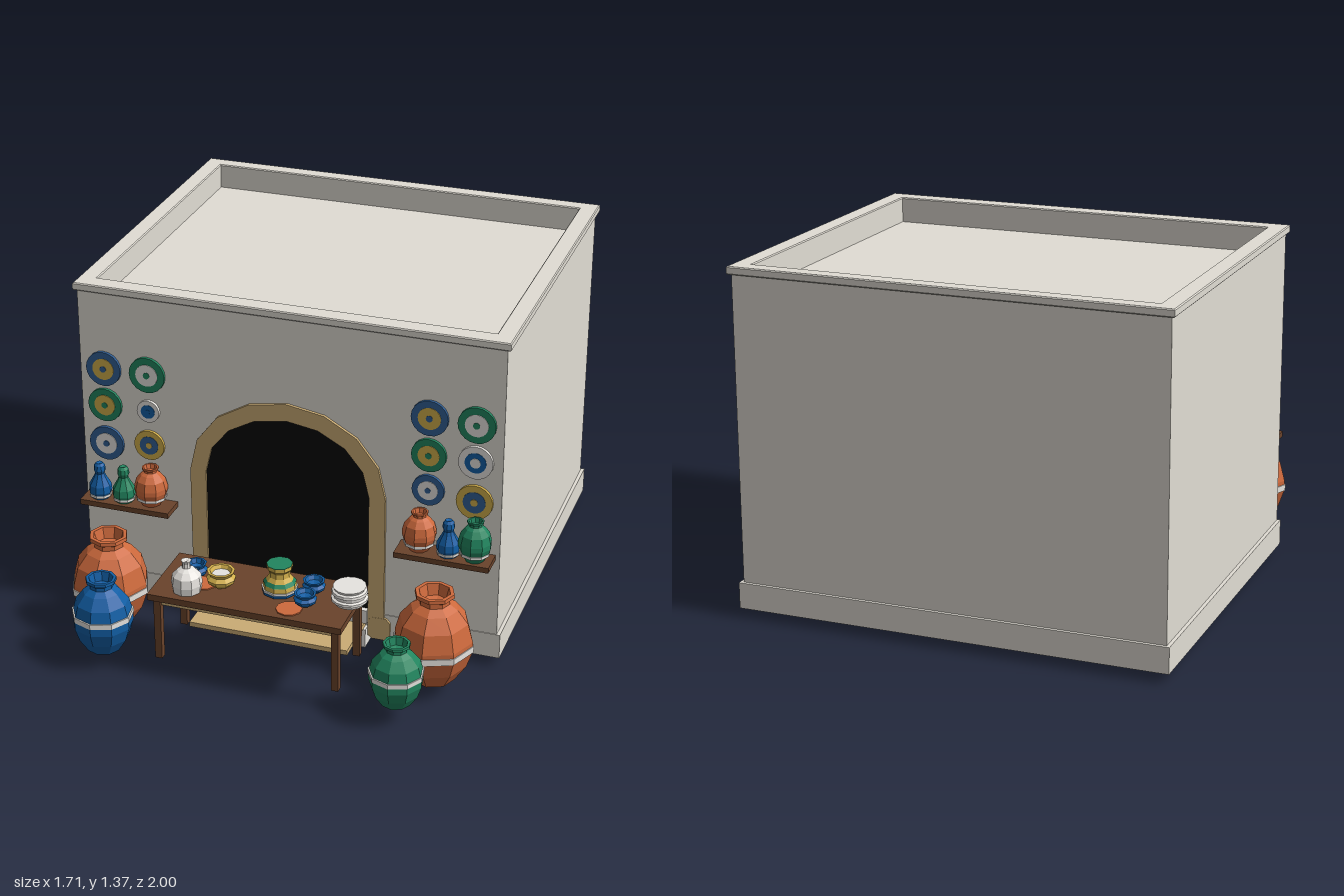
import * as THREE from 'three';

const colours = {
  plaster: 0xe1ddd4, white: 0xf6f3ee, sandstone: 0xcaac75, terracotta: 0xce6a3d, cobalt: 0x125ea4,
  green: 0x22855f, ochre: 0xd2af4b, wood: 0x6a432b, darkness: 0x040404, slateBlue: 0x315f94,
};

// Normalised pot profiles: [radius, height], from base centre up and back down inside
const JAR = [[0, 0], [.56, 0], [.85, .18], [1, .36], [1, .48], [.87, .68], [.6, .82], [.39, .88], [.39, .93], [.51, .96], [.5, 1], [.4, 1], [.32, .88], [0, .84]];
const GOURD = [[0, 0], [.75, 0], [1, .2], [.95, .38], [.55, .6], [.4, .7], [.52, .8], [.46, .93], [.3, 1], [0, .97]];
const BOTTLE = [[0, 0], [.92, 0], [1, .25], [.92, .52], [.6, .68], [.27, .76], [.25, .9], [.33, 1], [.18, 1], [0, .95]];
const BOWL = [[0, 0], [.6, 0], [.95, .3], [1, .5], [.75, .72], [.95, 1], [.75, 1], [.55, .7], [0, .55]];
const VASE = [[0, 0], [.9, 0], [1, .15], [.95, .35], [.62, .6], [.6, .78], [.76, .88], [.76, 1], [.6, 1], [.5, .8], [0, .75]];
const STACK = [[0, 0], [.8, 0], [.85, .15], [1, .22], [1, .36], [.86, .42], [.88, .58], [.98, .64], [.95, .78], [.82, .84], [.9, 1], [0, 1]];

export function createModel() {
  const model = new THREE.Group();
  const mats = {};
  for (const [name, color] of Object.entries(colours)) {
    mats[name] = new THREE.MeshStandardMaterial({ color });
    mats[name].name = name;
  }

  const add = (name, geo, mat, x = 0, y = 0, z = 0, parent = model) => {
    const m = new THREE.Mesh(geo, mats[mat]);
    m.name = name;
    m.position.set(x, y, z);
    parent.add(m);
  };
  // Box given by its min and max on each axis
  const box = (name, mat, x0, x1, y0, y1, z0, z1) =>
    add(name, new THREE.BoxGeometry(x1 - x0, y1 - y0, z1 - z0), mat, (x0 + x1) / 2, (y0 + y1) / 2, (z0 + z1) / 2);
  const toVectors = pts => pts.map(p => new THREE.Vector2(...p));

  // Faceted lathe
  const lathe = (points, sides) => {
    const g = new THREE.LatheGeometry(toVectors(points), sides).toNonIndexed();
    g.computeVertexNormals();
    return g;
  };
  // Pot with optional painted bands, each [colour, height fraction, radius fraction]
  const pot = (name, profile, mat, x, y, z, r, h, bands = [], sides = 9) => {
    const group = new THREE.Group();
    group.name = name;
    group.position.set(x, y, z);
    add('body', lathe(profile.map(p => [p[0] * r, p[1] * h]), sides), mat, 0, 0, 0, group);
    for (const [colour, at, rad] of bands) {
      const b = rad * r, t = h * .035;
      add('band', lathe([[b - .004, -t], [b + .004, -t], [b + .004, t], [b - .004, t]], sides), colour, 0, at * h, 0, group);
    }
    model.add(group);
  };

  // Building block, plinth and sunken roof with its rim
  box('walls', 'plaster', -.843, .843, .05, 1.265, -.987, .425);
  box('plinth', 'plaster', -.857, .857, .037, .14, -1, .428);
  const frame = (name, w, z0, z1, y0, y1, bevel) => {
    const s = new THREE.Shape(toVectors([[-w, -z1], [w, -z1], [w, -z0], [-w, -z0]]));
    s.holes.push(new THREE.Path(toVectors([[-.785, -.36], [-.785, .935], [.785, .935], [.785, -.36]])));
    const g = new THREE.ExtrudeGeometry(s, {
      depth: y1 - y0 - 2 * bevel, bevelEnabled: bevel > 0, bevelSegments: 1,
      bevelSize: bevel, bevelThickness: bevel, bevelOffset: -bevel,
    }).rotateX(-Math.PI / 2);
    add(name, g, 'plaster', 0, y0 + bevel, 0);
  };
  frame('parapet', .843, -.987, .425, 1.265, 1.345, 0);
  frame('cornice', .857, -1, .435, 1.336, 1.367, .004);

  // Arched doorway
  const archPoints = (a, b, base) => {
    const pts = [new THREE.Vector2(a, base)];
    for (let i = 0; i <= 8; i++) {
      const t = i * Math.PI / 8;
      pts.push(new THREE.Vector2(a * Math.cos(t), .65 + b * Math.sin(t)));
    }
    pts.push(new THREE.Vector2(-a, base));
    return pts;
  };
  const inner = archPoints(.33, .27, .1);
  const surround = new THREE.Shape([...archPoints(.395, .34, .04), new THREE.Vector2(-.33, .04), ...inner.slice().reverse(), new THREE.Vector2(.33, .04)]);
  add('archSurround', new THREE.ExtrudeGeometry(surround, { depth: .02, bevelEnabled: false }), 'sandstone', 0, 0, .417);
  add('doorOpening', new THREE.ShapeGeometry(new THREE.Shape(inner)), 'darkness', 0, 0, .43);
  // Chamfered feet of the arch
  for (const s of [-1, 1]) {
    const foot = new THREE.Shape(toVectors([[-.045, -.03], [-.03, -.048], [.03, -.048], [.045, -.03], [.045, .03], [.03, .048], [-.03, .048], [-.045, .03]]));
    add('archFoot', new THREE.ExtrudeGeometry(foot, { depth: .018, bevelEnabled: false }), 'sandstone', s * .375, .078, .42);
  }
  box('sill', 'white', -.33, .33, .1, .158, .425, .452);
  box('doorSlab', 'sandstone', -.325, .32, .08, .1, .43, .66);
  // Doorstep with a sloping underside, extruded across the door from its side profile
  const step = new THREE.Shape(toVectors([[-.465, 0], [-.385, 0], [-.325, .015], [-.325, .04], [-.43, .08], [-.465, .08]]));
  add('doorstep', new THREE.ExtrudeGeometry(step, { depth: .66, bevelEnabled: false }).rotateY(Math.PI / 2), 'white', -.33, 0, 0);

  // Table
  box('tableTop', 'wood', -.385, .38, .338, .364, .595, .92);
  for (const x of [-.355, .35]) for (const z of [.63, .885]) {
    box('tableLeg', 'wood', x - .014, x + .014, .075, .338, z - .014, z + .014);
  }
  for (const z of [.63, .885]) {
    box('tableApron', 'wood', -.34, .335, .325, .338, z - .008, z + .008);
    box('apronTrim', 'sandstone', -.34, .335, .308, .325, z - .005, z + .005);
  }

  // Tableware
  const T = .364;
  pot('whiteBottle', BOTTLE, 'white', -.255, T, .84, .06, .127);
  pot('ochreBowl', BOWL, 'ochre', -.14, T + .01, .78, .057, .062);
  add('bowlGlaze', new THREE.CylinderGeometry(.035, .035, .005, 9), 'white', -.14, T + .056, .78);
  pot('blueCup', BOWL, 'cobalt', -.26, T, .73, .043, .055);
  pot('ochreVase', VASE, 'ochre', .08, T, .74, .066, .12, [['cobalt', .08, .98], ['white', .17, 1]]);
  add('vaseGlaze', new THREE.CylinderGeometry(.05, .05, .004, 9), 'green', .08, T + .12, .74);
  add('vaseShoulder', lathe([[.0637, .043], [.0537, .058]], 9), 'green', .08, T, .74);
  for (const z of [.71, .81]) pot('blueBowl', BOWL, 'cobalt', .205, T + .01, z, .045, .048);
  pot('whiteDishStack', STACK, 'white', .365, T + .026, .77, .07, .072, [], 14);
  for (const [x, z] of [[.155, .85], [-.21, .78]]) {
    add('terracottaDish', new THREE.CylinderGeometry(.05, .05, .006, 10), 'terracotta', x, T + .002, z);
  }

  // Large floor jars
  const belt = [['white', .4, 1]];
  for (const s of [-1, 1]) pot('terracottaJar', JAR, 'terracotta', s * .657, .055, .65, .152, .37, belt, 8);
  pot('blueJar', JAR, 'cobalt', -.592, .065, .875, .118, .305, [['white', .5, .98]]);
  pot('greenJar', JAR, 'green', .585, .075, .89, .104, .255, [['white', .5, .98]]);

  // Wall shelves with small pots
  for (const s of [-1, 1]) {
    add('shelf', new THREE.BoxGeometry(.37, .022, .105), 'wood', s * .642, .476, .477);
  }
  for (const [mat, x, z, r, h] of [
    ['cobalt', -.76, .48, .046, .15], ['green', -.66, .48, .046, .15], ['terracotta', -.55, .468, .066, .16],
    ['terracotta', .54, .468, .066, .16], ['cobalt', .657, .48, .046, .15], ['green', .76, .48, .064, .165],
  ]) {
    const small = r < .06;
    pot(mat + 'ShelfPot', small ? GOURD : JAR, mat, x, .487, z, r, h, [['white', small ? .1 : .2, small ? .88 : .86]]);
  }

  // Wall plates: x, y, radius, rim, centre, dot, dot size
  const disc = (r, depth) => new THREE.CylinderGeometry(r, r, depth, 20).rotateX(Math.PI / 2);
  for (const [x, y, r, rim, centre, dot, size] of [
    [-.745, 1.022, .071, 'slateBlue', 'ochre', 'slateBlue', .18], [-.565, 1.022, .073, 'green', 'white', 'green', .18],
    [-.745, .868, .069, 'green', 'ochre', 'green', .18], [-.565, .868, .046, 'white', 'cobalt', 'cobalt', .2],
    [-.745, .702, .071, 'slateBlue', 'white', 'slateBlue', .18], [-.565, .722, .062, 'ochre', 'slateBlue', 'ochre', .2],
    [.56, 1.022, .072, 'slateBlue', 'ochre', 'slateBlue', .18], [.74, 1.022, .073, 'green', 'white', 'green', .18],
    [.56, .868, .068, 'green', 'ochre', 'green', .18], [.74, .868, .067, 'white', 'cobalt', 'white', .3],
    [.56, .722, .063, 'slateBlue', 'white', 'slateBlue', .18], [.74, .702, .071, 'ochre', 'slateBlue', 'ochre', .2],
  ]) {
    const plate = new THREE.Group();
    plate.name = 'wallPlate';
    plate.position.set(x, y, .425);
    add('rim', disc(r, .016), rim, 0, 0, .004, plate);
    add('centre', disc(r * .62, .005), centre, 0, 0, .0115, plate);
    add('dot', disc(r * size, .005), dot, 0, 0, .0135, plate);
    model.add(plate);
  }
  return model;
}
